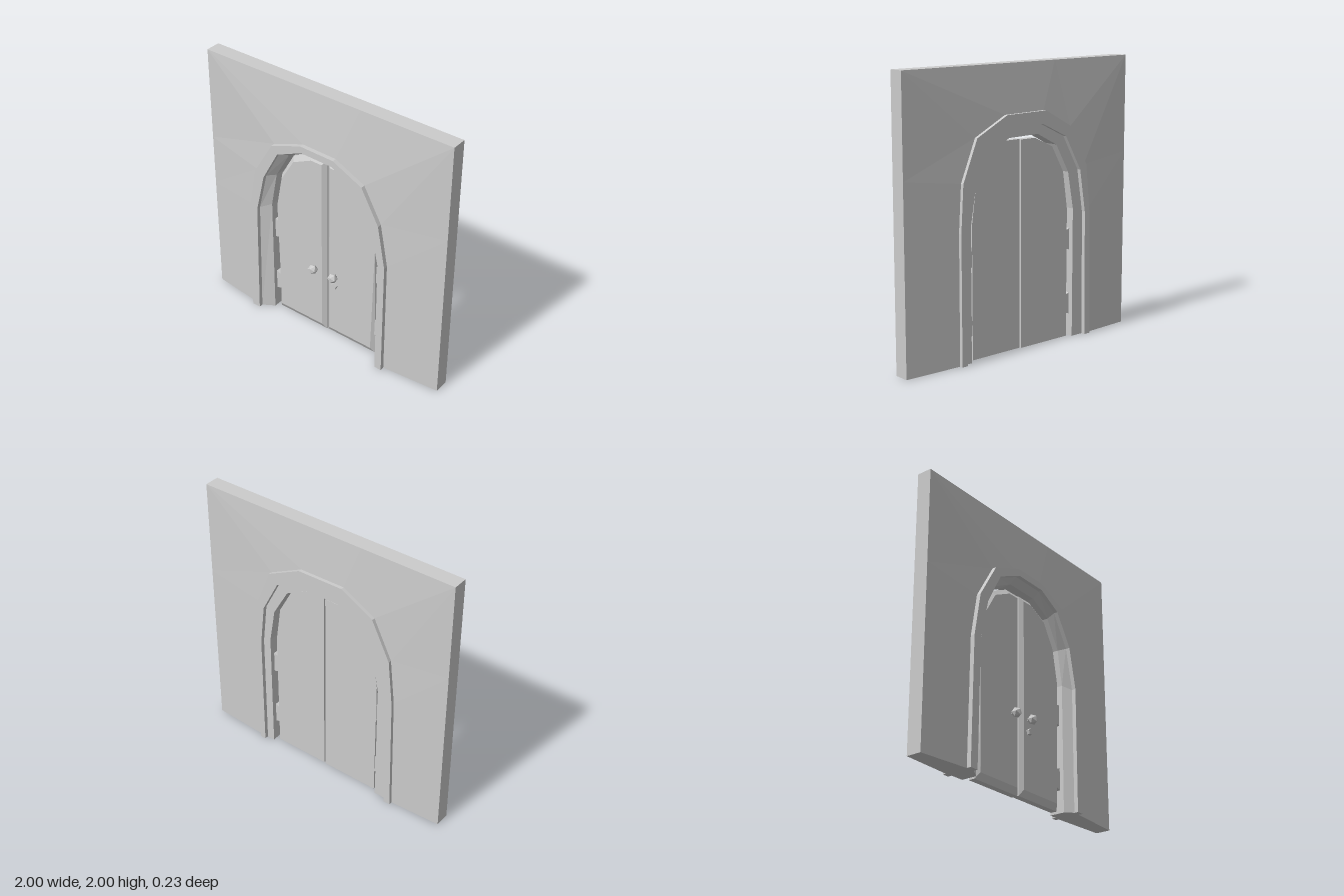
import * as THREE from 'three';

const stone = new THREE.MeshStandardMaterial({ color: 0xcccccc, flatShading: true });

function addMesh(parent, geometry, name, x = 0, y = 0, z = 0) {
  const mesh = new THREE.Mesh(geometry, stone);
  mesh.name = name;
  mesh.position.set(x, y, z);
  parent.add(mesh);
  return mesh;
}

const centre = (loop) =>
  loop.reduce((s, p) => s.add(p), new THREE.Vector3()).divideScalar(loop.length);

// Joins closed loops into a capped, flat-faced solid with outward faces.
// flatten maps a cap point to 2D.
function loft(source, flatten) {
  let loops = source.map((l) => l.map((p) => new THREE.Vector3(...p)));
  const travel = centre(loops[1]).sub(centre(loops[0]));
  const area = new THREE.Vector3();
  loops[0].forEach((p, i) => area.add(p.clone().cross(loops[0][(i + 1) % loops[0].length])));
  if (area.dot(travel) < 0) loops = loops.map((l) => l.slice().reverse());

  const pts = [];
  for (let i = 0; i < loops.length - 1; i++) {
    const a = loops[i], b = loops[i + 1];
    a.forEach((_, j) => {
      const k = (j + 1) % a.length;
      pts.push(a[j], a[k], b[k], a[j], b[k], b[j]);
    });
  }
  const cap = (loop, next) => {
    const out = centre(loop).sub(centre(next));
    for (const tri of THREE.ShapeUtils.triangulateShape(loop.map(flatten), [])) {
      const [a, b, c] = tri.map((i) => loop[i]);
      const n = b.clone().sub(a).cross(c.clone().sub(a));
      pts.push(...(n.dot(out) > 0 ? [a, b, c] : [a, c, b]));
    }
  };
  cap(loops[0], loops[1]);
  cap(loops.at(-1), loops.at(-2));

  const geometry = new THREE.BufferGeometry().setFromPoints(pts);
  geometry.computeVertexNormals();
  return geometry;
}

const onFloor = (p) => new THREE.Vector2(p.x, p.z);
const onFront = (p) => new THREE.Vector2(p.x, p.y);

// Outlines from the foot on one side, over the arch, to the other foot
const wallEdge = [[-1, 0], [-1, 0.91], [-1, 1.3], [-1, 2], [-0.3, 2],
  [0.3, 2], [1, 2], [1, 1.3], [1, 0.91], [1, 0]];
const frontOuter = [[-0.62, 0], [-0.605, 0.91], [-0.55, 1.23], [-0.39, 1.5], [-0.14, 1.595],
  [0.135, 1.59], [0.37, 1.48], [0.51, 1.23], [0.57, 0.91], [0.57, 0]];
const frontInner = [[-0.555, 0], [-0.54, 0.91], [-0.47, 1.21], [-0.34, 1.45], [-0.13, 1.545],
  [0.125, 1.54], [0.31, 1.44], [0.45, 1.21], [0.515, 0.91], [0.515, 0]];
const opening = [[-0.47, 0], [-0.47, 0.94], [-0.42, 1.21], [-0.305, 1.415], [-0.13, 1.505],
  [0.13, 1.5], [0.3, 1.41], [0.42, 1.2], [0.465, 0.94], [0.465, 0]];
const backOuter = [[-0.62, 0], [-0.605, 0.91], [-0.57, 1.25], [-0.43, 1.53], [-0.18, 1.665],
  [0.17, 1.66], [0.43, 1.53], [0.55, 1.24], [0.57, 0.91], [0.57, 0]];
const backInner = [[-0.57, 0], [-0.56, 0.91], [-0.51, 1.22], [-0.37, 1.47], [-0.15, 1.575],
  [0.14, 1.57], [0.36, 1.47], [0.49, 1.22], [0.525, 0.91], [0.525, 0]];

// Wall section, from the outer front edge through the opening to the back
const section = [
  [wallEdge, 0.04], [frontOuter, 0.08], [frontOuter, 0.112], [frontInner, 0.112],
  [frontInner, 0.082], [opening, 0.03], [opening, -0.085], [backInner, -0.085],
  [backInner, -0.115], [backOuter, -0.115], [backOuter, -0.09], [wallEdge, -0.07],
];

// Door leaf, as distance from the meeting edge and height
const leaf = [[0, 0], [0.437, 0], [0.437, 0.94], [0.397, 1.21], [0.29, 1.4], [0.13, 1.475], [0, 1.475]];
const leafFace = [[0.03, 0.045], [0.41, 0.045], [0.43, 0.94], [0.38, 1.19], [0.275, 1.365], [0.12, 1.44], [0.03, 1.44]];

function makeDoor(name, place) {
  const door = new THREE.Group();
  door.name = name;
  const layer = (outline, z) => outline.map(([d, y]) => [place(d), y, z]);
  addMesh(door, loft([layer(leaf, -0.055), layer(leaf, -0.008), layer(leafFace, 0.017)], onFront), 'doorLeaf');

  // Hinges bridging the gap to the jamb
  for (const y of [0.24, 0.715]) {
    const plate = [[0.42, y - 0.062], [0.476, y - 0.082], [0.476, y + 0.082], [0.42, y + 0.062]];
    addMesh(door, loft([layer(plate, -0.05), layer(plate, 0.0)], onFront), 'hinge');
  }

  // Faceted knob on a short stem
  const x = place(0.084);
  addMesh(door, new THREE.IcosahedronGeometry(0.037), 'knob', x, 0.55, 0.052);
  addMesh(door, new THREE.CylinderGeometry(0.014, 0.014, 0.04, 6).rotateX(Math.PI / 2), 'knobStem', x, 0.55, 0.025);
  return door;
}

export function createModel() {
  const model = new THREE.Group();
  model.name = 'archedDoorway';

  // Wall with raised arch trim on both faces
  const loops = wallEdge.map((_, i) => section.map(([line, z]) => [...line[i], z]));
  addMesh(model, loft(loops, onFloor), 'wallAndArch');

  // Double doors
  const rightDoor = makeDoor('rightDoor', (d) => -0.003 - d);
  const leftDoor = makeDoor('leftDoor', (d) => 0.009 + d * 0.965);
  leftDoor.position.y = 0.005;
  model.add(rightDoor, leftDoor);

  // Five-sided lock below the knob
  const lock = new THREE.CylinderGeometry(0.024, 0.024, 0.03, 5).rotateX(Math.PI / 2).rotateZ(Math.PI);
  addMesh(leftDoor, lock, 'lock', 0.088, 0.465, 0.024);

  return model;
}
